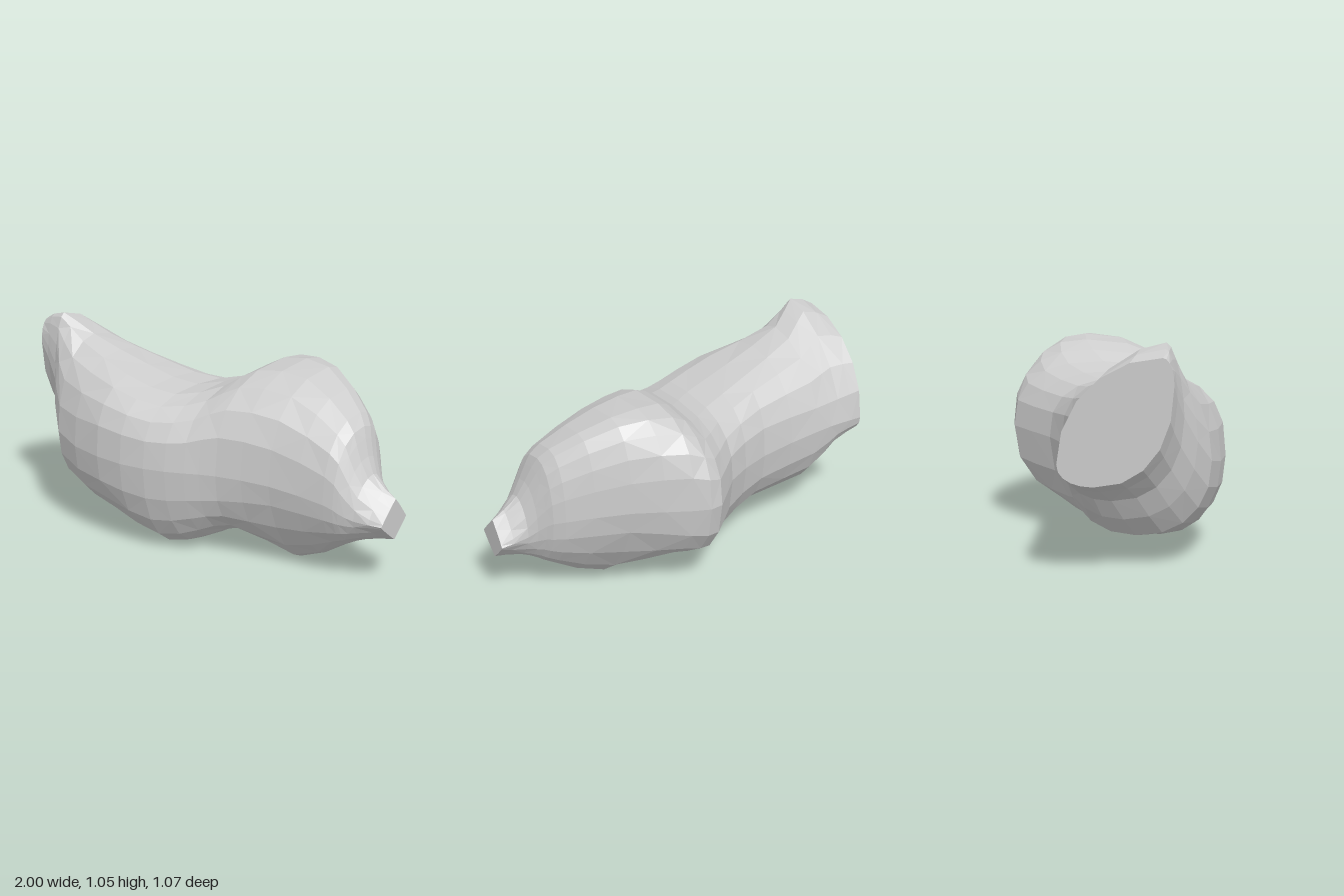
import * as THREE from 'three';

// Key cross-sections along x, each given by its four extreme points and the
// roundness of its upper and lower half (below 1 is boxy, 2 is a diamond):
// [x, topY, topZ, frontZ, frontY, bottomY, bottomZ, backZ, backY, upper, lower]
const KEYS = [
  [-1.00, 1.00, 0.26, 0.31, 0.88, 0.43, -0.04, -0.20, 0.53, 1.0, 0.9],
  [-0.87, 1.05, 0.27, 0.35, 0.72, 0.34, 0.03, -0.20, 0.53, 1.2, 0.9],
  [-0.73, 0.95, 0.20, 0.47, 0.50, 0.15, 0.13, -0.20, 0.52, 1.05, 0.9],
  [-0.40, 0.84, 0.15, 0.53, 0.46, 0.09, 0.21, -0.21, 0.48, 0.76, 0.9],
  [-0.13, 0.78, 0.09, 0.49, 0.45, 0.00, 0.21, -0.33, 0.48, 0.76, 0.9],
  [0.06, 0.83, -0.08, 0.41, 0.45, 0.06, 0.12, -0.53, 0.50, 0.8, 0.85],
  [0.20, 0.92, -0.18, 0.34, 0.45, 0.11, 0.02, -0.51, 0.50, 0.78, 0.82],
  [0.46, 0.92, -0.19, 0.26, 0.44, 0.00, 0.00, -0.38, 0.50, 0.85, 1.25],
  [0.73, 0.78, -0.08, 0.20, 0.40, 0.14, 0.00, -0.23, 0.46, 0.88, 1.0],
  [0.80, 0.68, -0.03, 0.18, 0.37, 0.18, 0.01, -0.17, 0.43, 0.95, 1.0],
  [0.87, 0.53, 0.00, 0.15, 0.34, 0.21, 0.01, -0.11, 0.36, 1.1, 1.2],
  [1.00, 0.44, 0.00, 0.11, 0.33, 0.24, 0.00, -0.09, 0.33, 1.9, 1.9],
];
const SIDES = 20;
const RINGS = 22;

// Smooth curves carry every value from one key section to the next
const curves = KEYS[0].map((_, col) =>
  new THREE.SplineCurve(KEYS.map((key) => new THREE.Vector2(key[0], key[col]))));

// Joins the four extremes with quarter curves
function ring(t) {
  const [x, topY, topZ, frontZ, frontY, bottomY, bottomZ, backZ, backY, upper, lower] =
    curves.map((curve) => curve.getPoint(t).y);
  const points = [];
  for (let j = 0; j < SIDES; j++) {
    const a = (j / SIDES) * Math.PI * 2;
    const s = Math.sin(a), c = Math.cos(a);
    const power = c >= 0 ? upper : lower;
    const midZ = c >= 0 ? topZ : bottomZ;
    const midY = s >= 0 ? frontY : backY;
    const endZ = s >= 0 ? frontZ : backZ;
    const endY = c >= 0 ? topY : bottomY;
    points.push([
      x,
      midY + (endY - midY) * Math.abs(c) ** power,
      midZ + (endZ - midZ) * Math.abs(s) ** power,
    ]);
  }
  return points;
}

function bodyGeometry() {
  const rings = Array.from({ length: RINGS + 1 }, (_, i) => ring(i / RINGS));
  const positions = rings.flat(2);
  const index = [];
  for (let i = 0; i < RINGS; i++) {
    for (let j = 0; j < SIDES; j++) {
      const a = i * SIDES + j, b = i * SIDES + ((j + 1) % SIDES);
      const c = a + SIDES, d = b + SIDES;
      if ((i + j) % 2) index.push(a, b, c, b, d, c);
      else index.push(a, b, d, a, d, c);
    }
  }
  // Flat cut at one end and blunt tip at the other
  for (const i of [0, RINGS]) {
    const center = positions.length / 3;
    for (let n = 0; n < 3; n++) {
      positions.push(rings[i].reduce((sum, p) => sum + p[n], 0) / SIDES);
    }
    for (let j = 0; j < SIDES; j++) {
      const a = i * SIDES + j, b = i * SIDES + ((j + 1) % SIDES);
      if (i === 0) index.push(center, b, a);
      else index.push(center, a, b);
    }
  }
  const geometry = new THREE.BufferGeometry();
  geometry.setAttribute('position', new THREE.Float32BufferAttribute(positions, 3));
  geometry.setIndex(index);
  geometry.computeVertexNormals();
  return geometry;
}

export function createModel() {
  const group = new THREE.Group();
  group.name = 'organicForm';
  const material = new THREE.MeshStandardMaterial({ color: 0xcccccc, flatShading: true });
  const body = new THREE.Mesh(bodyGeometry(), material);
  body.name = 'body';
  group.add(body);
  return group;
}
